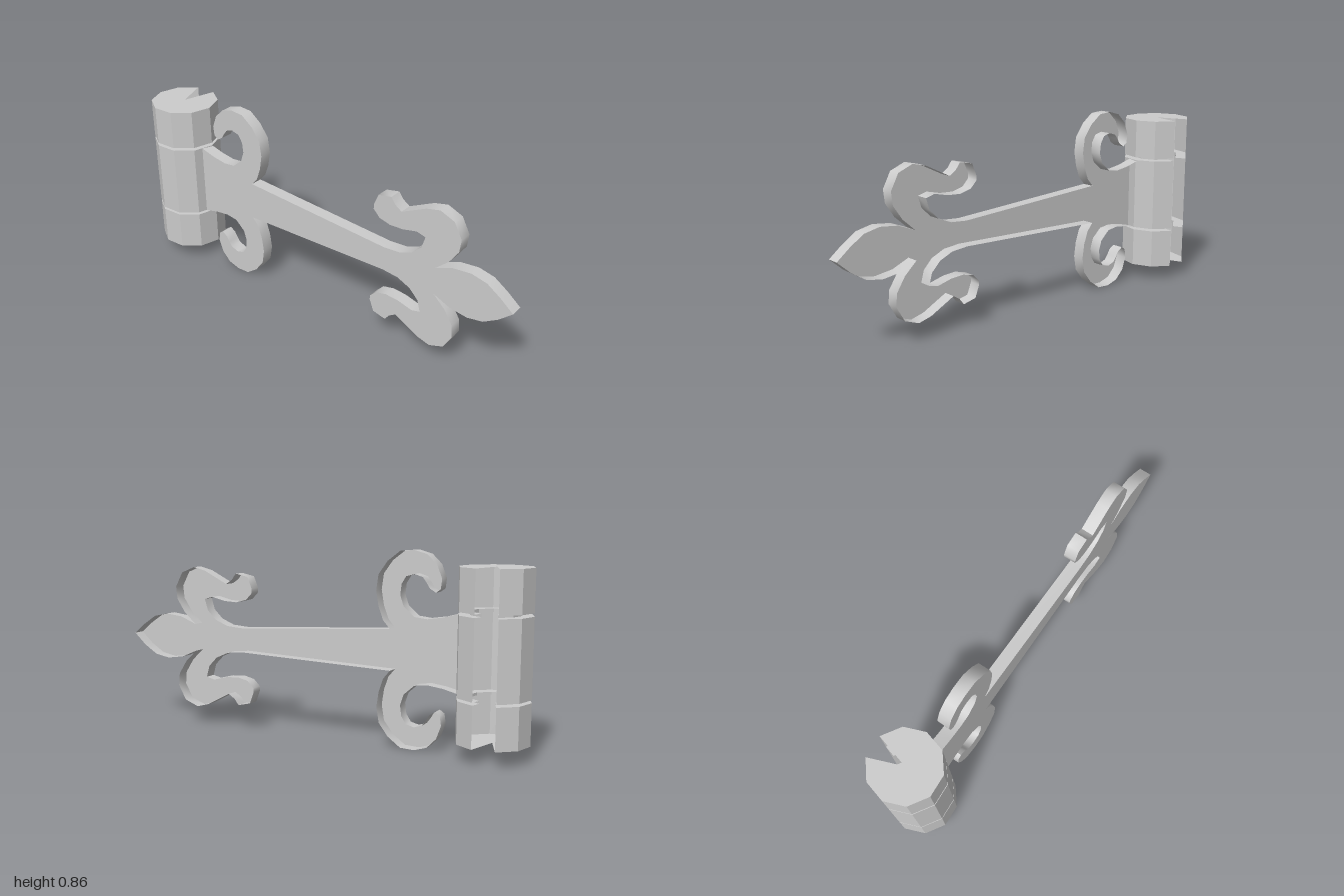
import * as THREE from 'three';
import { toCreasedNormals } from 'three/addons/utils/BufferGeometryUtils.js';

const facetMaterial = new THREE.MeshStandardMaterial({ color: 0xcccccc, flatShading: true, side: THREE.DoubleSide });
const smoothMaterial = new THREE.MeshStandardMaterial({ color: 0xcccccc, side: THREE.DoubleSide });

// Hollow ten-sided barrel with one facet left open at the back;
// two narrow grooves divide it into three knuckles
function barrel() {
  const R = 0.158, NECK = 0.107;
  const profile = [
    [0, 0.067], [R, 0.067], [R, 0.249], [NECK, 0.249], [NECK, 0.261], [R, 0.261],
    [R, 0.602], [NECK, 0.602], [NECK, 0.616], [R, 0.616], [R, 0.798], [0, 0.798],
  ].map(([r, y]) => new THREE.Vector2(r, y));
  const start = THREE.MathUtils.degToRad(-159);
  const length = THREE.MathUtils.degToRad(324);
  const mesh = new THREE.Mesh(new THREE.LatheGeometry(profile, 9, start, length), facetMaterial);
  mesh.name = 'barrel';
  mesh.position.x = -0.842;
  return mesh;
}

// Upper half of the strap outline, from the barrel to the leaf tip
const ROOT = [[-0.7, 0.167], [-0.623, 0.147], [-0.553, 0.137], [-0.495, 0.144]];
const CURL = [
  [-0.446, 0.187], [-0.43, 0.235], [-0.436, 0.283], [-0.457, 0.316], [-0.495, 0.326],
  [-0.532, 0.314], [-0.548, 0.293], [-0.564, 0.267], [-0.591, 0.25], [-0.612, 0.265],
  [-0.618, 0.308], [-0.596, 0.367], [-0.553, 0.41], [-0.495, 0.427], [-0.43, 0.423],
  [-0.372, 0.38], [-0.329, 0.322], [-0.318, 0.252], [-0.329, 0.183], [-0.35, 0.124], [-0.382, 0.087],
];
const SCROLL = [
  [0.372, 0.053], [0.452, 0.06], [0.516, 0.087], [0.559, 0.13], [0.575, 0.184],
  [0.532, 0.195], [0.463, 0.178], [0.398, 0.174], [0.345, 0.187], [0.313, 0.219],
  [0.313, 0.24], [0.334, 0.294], [0.398, 0.308], [0.42, 0.279], [0.452, 0.258],
  [0.57, 0.318], [0.634, 0.334], [0.703, 0.307], [0.741, 0.238], [0.735, 0.179], [0.693, 0.115], [0.634, 0.061],
];
const LEAF = [[0.714, 0.094], [0.8, 0.105], [0.874, 0.09], [0.939, 0.048]];

// Pressed strap: a flat front plate with a rim turned back around its outline
function strap() {
  const HALF = 0.029;
  const upper = [...ROOT, ...CURL, ...SCROLL, ...LEAF];
  const lower = upper.map(([x, y]) => [x, -y - 0.008]);
  const outline = [...lower, [1, 0], ...upper.reverse()];

  const plateGeometry = new THREE.ShapeGeometry(
    new THREE.Shape(outline.map(([x, y]) => new THREE.Vector2(x, y))));
  plateGeometry.translate(0, 0, HALF);
  const plate = new THREE.Mesh(plateGeometry, smoothMaterial);
  plate.name = 'strapPlate';

  // The rim stays open where the strap meets the barrel
  const positions = [], index = [];
  outline.forEach(([x, y], i) => {
    positions.push(x, y, HALF, x, y, -HALF);
    if (i === outline.length - 1) return;
    const a = 2 * i;
    index.push(a, a + 1, a + 3, a, a + 3, a + 2);
  });
  const rimGeometry = new THREE.BufferGeometry();
  rimGeometry.setAttribute('position', new THREE.Float32BufferAttribute(positions, 3));
  rimGeometry.setIndex(index);
  const rim = new THREE.Mesh(toCreasedNormals(rimGeometry, Math.PI / 3), smoothMaterial);
  rim.name = 'strapRim';

  const group = new THREE.Group();
  group.name = 'strap';
  group.add(plate, rim);
  // The strap hangs very slightly out of square
  group.rotation.set(0, -0.0065, -0.012);
  group.position.set(0, 0.425, 0.019);
  return group;
}

export function createModel() {
  const group = new THREE.Group();
  group.name = 'strapHinge';
  group.add(barrel(), strap());
  return group;
}
